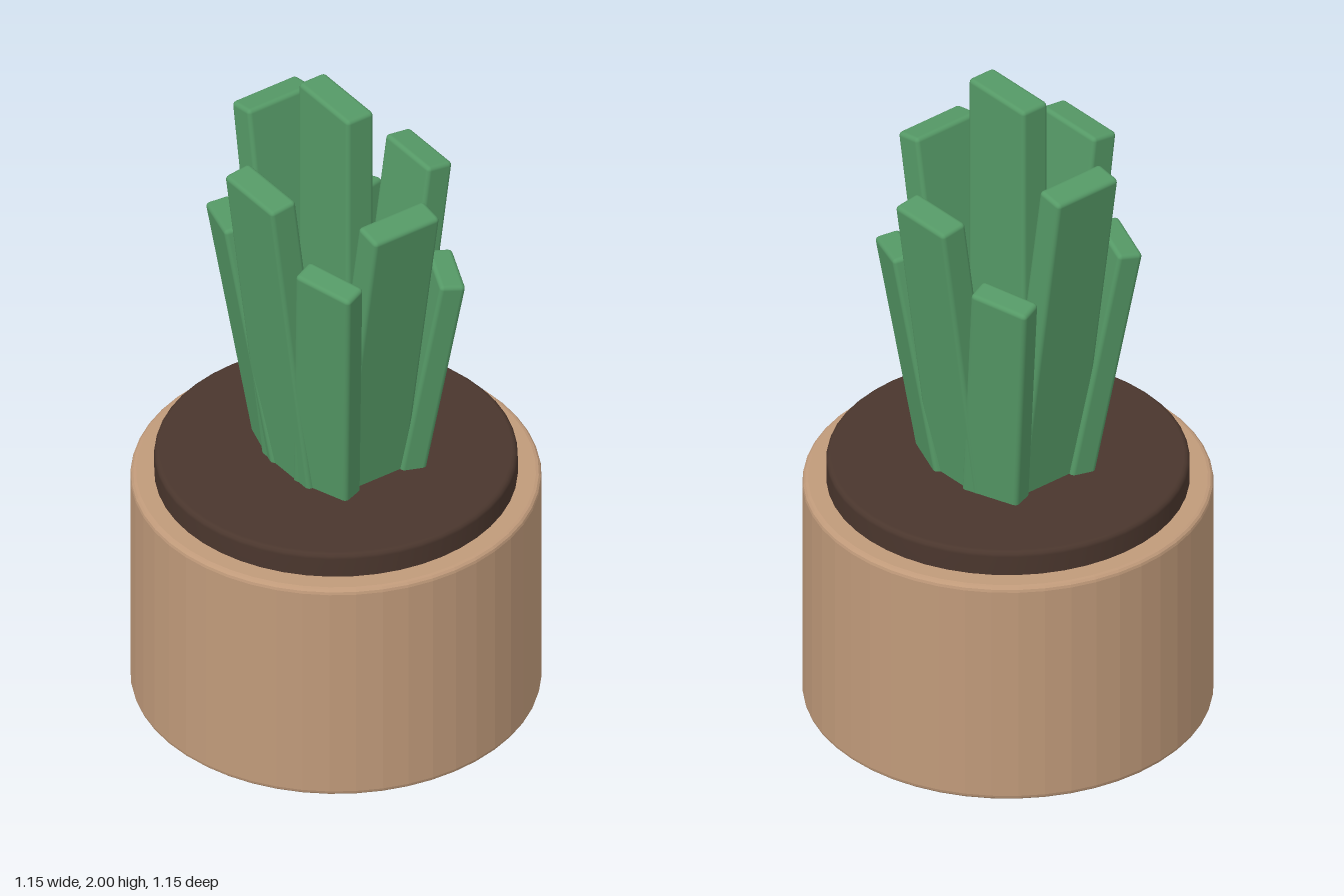
import * as THREE from 'three';
import { RoundedBoxGeometry } from 'three/addons/geometries/RoundedBoxGeometry.js';

const SOIL_TOP = 0.785;

function material(name, color, flatShading = false) {
  const m = new THREE.MeshStandardMaterial({ color, flatShading });
  m.name = name;
  return m;
}

// Solid disc with softly bevelled rims
function bevelledDisc(radius, y0, y1, bevel, sides) {
  const points = [new THREE.Vector2(0, y0)];
  for (const [y, start] of [[y0 + bevel, -Math.PI / 2], [y1 - bevel, 0]]) {
    for (let i = 0; i <= 3; i++) {
      const a = start + (i / 3) * (Math.PI / 2);
      points.push(new THREE.Vector2(radius - bevel + bevel * Math.cos(a), y + bevel * Math.sin(a)));
    }
  }
  points.push(new THREE.Vector2(0, y1));
  return new THREE.LatheGeometry(points, sides);
}

// Slab leaf running from a point on the soil to its tip, its broad face turned by yaw degrees
function leaf(name, mat, [bx, bz], [tx, ty, tz], width, thickness, yaw) {
  const base = new THREE.Vector3(bx, SOIL_TOP, bz);
  const tip = new THREE.Vector3(tx, ty, tz);
  const up = tip.clone().sub(base).normalize();
  base.addScaledVector(up, -0.1); // rooted below the soil
  const a = THREE.MathUtils.degToRad(yaw);
  const facing = new THREE.Vector3(Math.sin(a), 0, Math.cos(a));
  const side = up.clone().cross(facing).normalize();
  const normal = side.clone().cross(up);

  const geometry = new RoundedBoxGeometry(width, base.distanceTo(tip), thickness, 2, 0.013);
  const mesh = new THREE.Mesh(geometry, mat);
  mesh.name = name;
  mesh.quaternion.setFromRotationMatrix(new THREE.Matrix4().makeBasis(side, up, normal));
  mesh.position.copy(base).add(tip).multiplyScalar(0.5);
  return mesh;
}

export function createModel() {
  const group = new THREE.Group();
  group.name = 'pottedPlant';
  const clay = material('clay', 0xc09a7a, true);
  const earth = material('earth', 0x4a362d);
  const green = material('leafGreen', 0x559966);

  // Pot and soil
  const pot = new THREE.Mesh(bevelledDisc(0.577, 0, 0.71, 0.016, 48), clay);
  pot.name = 'pot';
  const soil = new THREE.Mesh(bevelledDisc(0.51, 0.6, SOIL_TOP, 0.016, 48), earth);
  soil.name = 'soil';
  group.add(pot, soil);

  // Leaves: name, foot (x, z), tip (x, y, z), width, thickness, yaw
  const leaves = [
    ['centreLeaf', [0, 0], [0, 2, 0], 0.24, 0.092, 0],
    ['frontLeaf', [0, 0.135], [0, 1.795, 0.262], 0.23, 0.086, 0],
    ['backLeaf', [0, -0.158], [0, 1.705, -0.287], 0.21, 0.086, 180],
    ['leftLeaf', [0.14, 0], [0.305, 1.745, 0], 0.225, 0.086, 90],
    ['rightLeaf', [-0.145, 0], [-0.308, 1.835, 0], 0.222, 0.086, -90],
    ['frontLeftLeaf', [0.123, 0.12], [0.25, 1.592, 0.202], 0.185, 0.075, 20],
    ['frontRightLeaf', [-0.125, 0.125], [-0.24, 1.545, 0.204], 0.185, 0.075, -18],
    ['backLeftLeaf', [0.127, -0.152], [0.235, 1.458, -0.213], 0.17, 0.075, 158],
    ['backRightLeaf', [-0.123, -0.15], [-0.235, 1.507, -0.213], 0.18, 0.075, -160],
  ];
  for (const [name, ...spec] of leaves) group.add(leaf(name, green, ...spec));

  return group;
}
